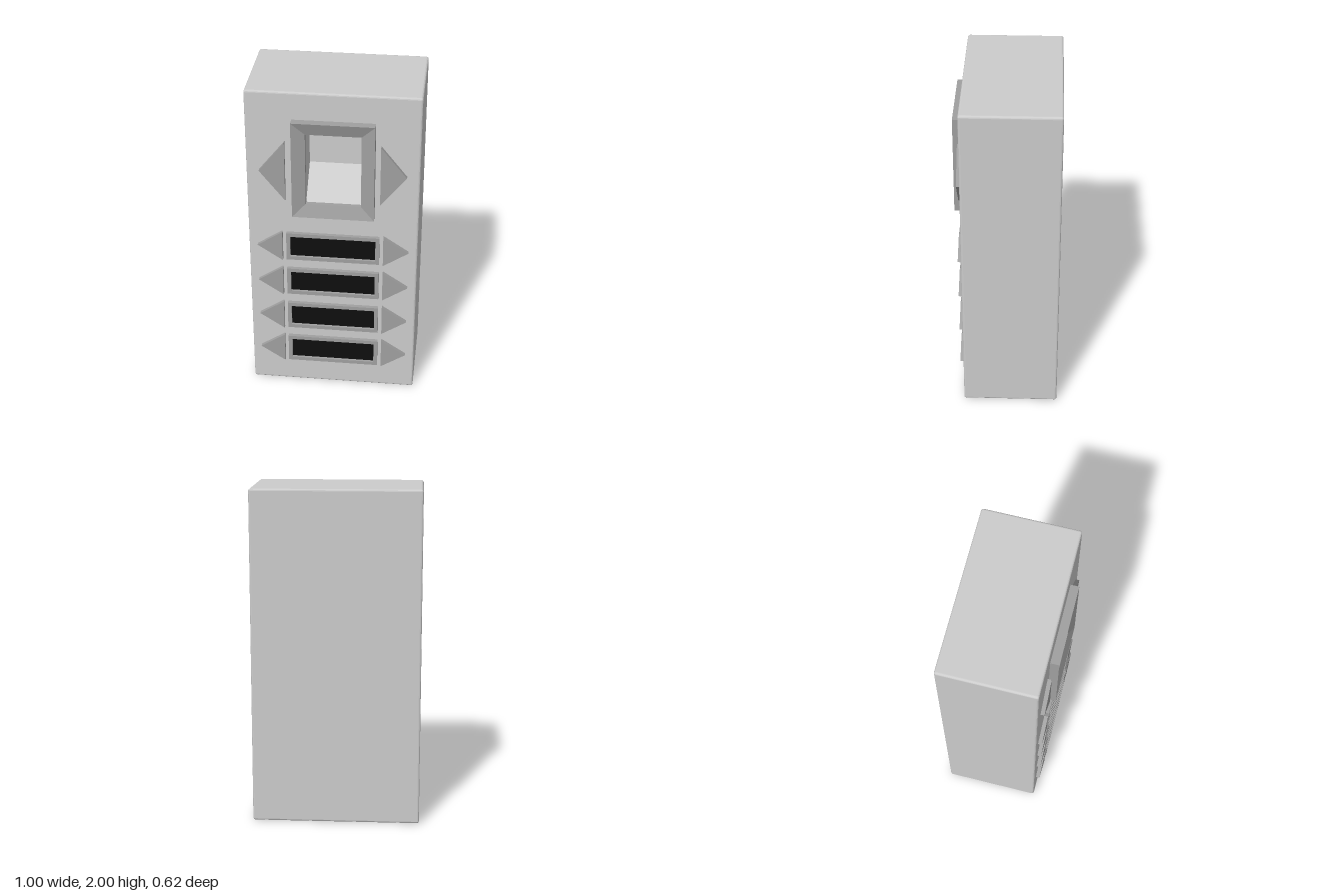
import * as THREE from 'three';
import { mergeGeometries } from 'three/addons/utils/BufferGeometryUtils.js';

const FRONT = 0.26, BACK = -0.31, R = 0.012;
const HOLE = [-0.155, 0.165, 1.305, 1.755]; // x0, x1, y0, y1

const bodyMat = new THREE.MeshStandardMaterial({ color: 0xcccccc });
const trimMat = new THREE.MeshStandardMaterial({ color: 0xa0a0a0 });
const slotMat = new THREE.MeshStandardMaterial({ color: 0x0e0e0e });

function add(group, name, geometry, material) {
  const mesh = new THREE.Mesh(geometry, material);
  mesh.name = name;
  group.add(mesh);
  return mesh;
}

const ring = ([x0, x1, y0, y1], z) =>
  [[x0, y0, z], [x1, y0, z], [x1, y1, z], [x0, y1, z]];

const grow = ([x0, x1, y0, y1], d) => [x0 - d, x1 + d, y0 - d, y1 + d];

// Joins successive rectangular rings with flat faces; can close the last ring
function loftRings(rings, closeEnd = false) {
  const p = [];
  const quad = (a, b, c, d) => p.push(...a, ...b, ...c, ...a, ...c, ...d);
  for (let k = 0; k < rings.length - 1; k++) {
    const a = rings[k], b = rings[k + 1];
    for (let i = 0; i < 4; i++) {
      const j = (i + 1) % 4;
      quad(a[i], a[j], b[j], b[i]);
    }
  }
  if (closeEnd) quad(...rings[rings.length - 1]);
  const g = new THREE.BufferGeometry();
  g.setAttribute('position', new THREE.Float32BufferAttribute(p, 3));
  g.computeVertexNormals();
  return g;
}

const polygon = (pts) => new THREE.Shape(pts.map(([x, y]) => new THREE.Vector2(x, y)));

// Box shell with softened edges and an opening in its front
function bodyGeometry() {
  const c = 0.014, s = new THREE.Shape();
  s.moveTo(-0.5 + c, 0);
  s.lineTo(0.5 - c, 0);
  s.absarc(0.5 - c, c, c, -Math.PI / 2, 0);
  s.absarc(0.5 - c, 2 - c, c, 0, Math.PI / 2);
  s.absarc(-0.5 + c, 2 - c, c, Math.PI / 2, Math.PI);
  s.absarc(-0.5 + c, c, c, Math.PI, Math.PI * 1.5);
  const solid = new THREE.ExtrudeGeometry(s, {
    depth: FRONT - BACK - 2 * R, bevelThickness: R, bevelSize: R,
    bevelOffset: -R, bevelSegments: 3, curveSegments: 3,
  });
  solid.translate(0, 0, BACK + R);

  // Keep the sides only; the two caps are made below
  const { start, count } = solid.groups[1];
  const sides = new THREE.BufferGeometry();
  for (const key of ['position', 'normal', 'uv']) {
    const { array, itemSize } = solid.attributes[key];
    sides.setAttribute(key, new THREE.BufferAttribute(
      array.slice(start * itemSize, (start + count) * itemSize), itemSize));
  }
  const cap = ring([-0.5 + R, 0.5 - R, R, 2 - R], 0);
  const frontShape = polygon(cap);
  frontShape.holes.push(polygon(ring(HOLE, 0)));
  const front = new THREE.ShapeGeometry(frontShape).toNonIndexed().translate(0, 0, FRONT);
  const back = new THREE.ShapeGeometry(polygon(cap)).toNonIndexed();
  back.translate(0, -1, 0).rotateY(Math.PI).translate(0, 1, BACK);
  return mergeGeometries([sides, front, back]);
}

// Raised triangular arrow pointing to side (+1 or -1)
function arrowGeometry(side, base, tip, halfHeight) {
  const pts = [[side * base, -halfHeight], [side * tip, 0], [side * base, halfHeight]];
  const g = new THREE.ExtrudeGeometry(polygon(pts), { depth: 0.028, bevelEnabled: false });
  return g.translate(0, 0, FRONT - 0.005);
}

export function createModel() {
  const model = new THREE.Group();
  model.name = 'dispenser';
  add(model, 'body', bodyGeometry(), bodyMat);

  // Recess with a floor sloping down towards the front
  const [x0, x1, , y1] = HOLE;
  add(model, 'windowRecess', loftRings(
    [ring(HOLE, FRONT), ring([x0, x1, 1.475, y1], 0.085)], true), bodyMat);

  // Raised window frame, its face sloping inward
  const outer = grow(HOLE, 0.078);
  add(model, 'windowFrame', loftRings([
    ring(outer, FRONT), ring(outer, 0.31), ring(HOLE, 0.285), ring(HOLE, FRONT),
  ]), trimMat);

  for (const side of [-1, 1]) {
    const name = side > 0 ? 'leftWindowArrow' : 'rightWindowArrow';
    add(model, name, arrowGeometry(side, 0.275, 0.425, 0.188), trimMat).position.y = 1.507;
  }

  // Four rows, each a framed dark slot between two arrows
  [0.255, 0.505, 0.755, 1.003].forEach((y, i) => {
    const row = new THREE.Group();
    row.name = `slotRow${i + 1}`;
    row.position.y = y;
    const slot = [-0.252, 0.252, -0.068, 0.068], rim = grow(slot, 0.023);
    add(row, 'slotFrame', loftRings([
      ring(rim, FRONT), ring(rim, 0.283), ring(slot, 0.283), ring(slot, 0.268),
    ]), trimMat);
    add(row, 'slotPanel', new THREE.PlaneGeometry(0.504, 0.136), slotMat).position.z = 0.268;
    for (const side of [-1, 1]) {
      const name = side > 0 ? 'leftArrow' : 'rightArrow';
      add(row, name, arrowGeometry(side, 0.298, 0.447, 0.098), trimMat);
    }
    model.add(row);
  });
  return model;
}
